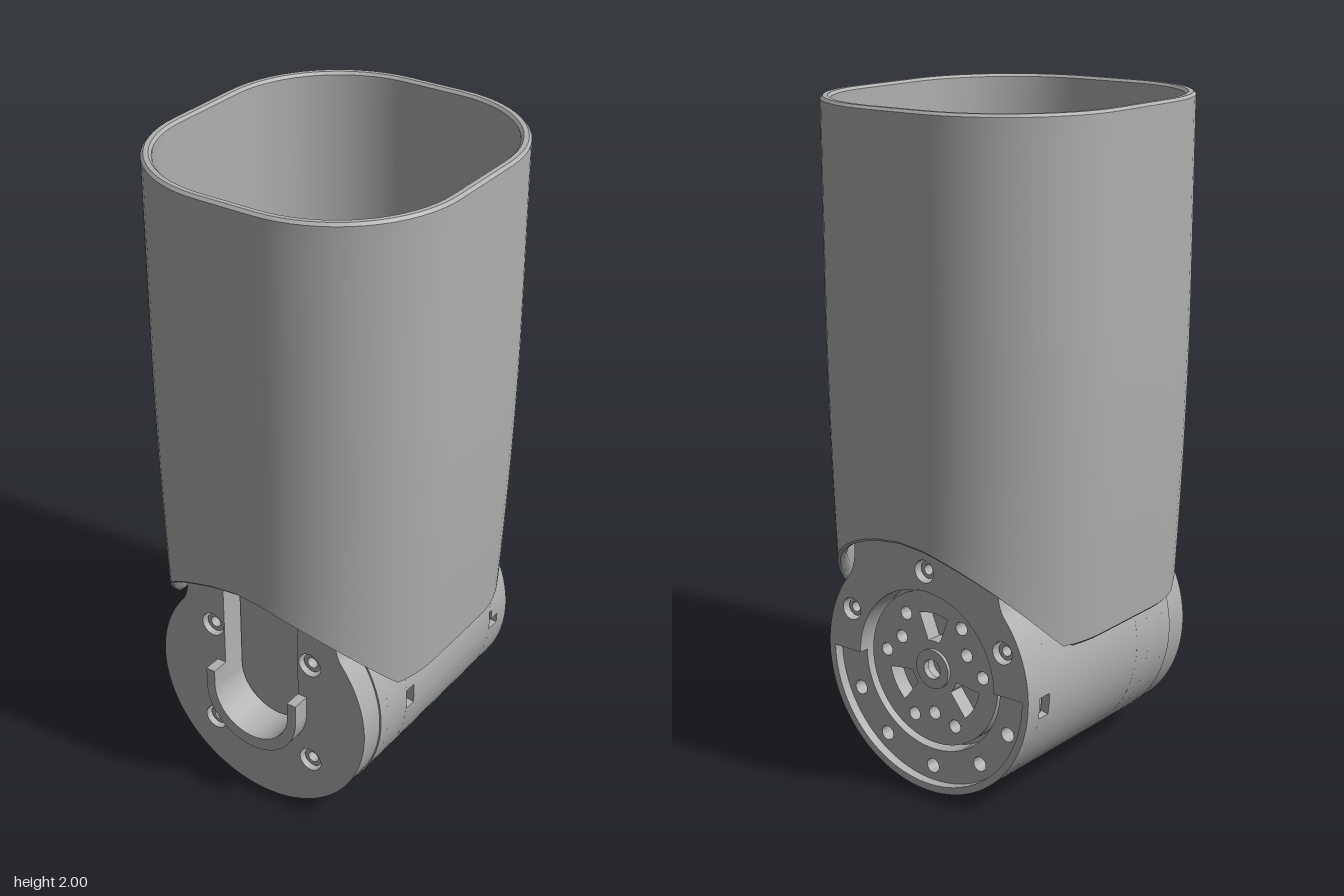
import * as THREE from 'three';
import { toCreasedNormals } from 'three/addons/utils/BufferGeometryUtils.js';

const R = 0.372, CY = 0.372, PI = Math.PI, NECK = 0.265, NECK_TOP = 0.475;
const rad = (d) => d * PI / 180;

export function createModel() {
  const model = new THREE.Group();
  const grey = new THREE.MeshStandardMaterial({ color: 0xb0b0b0 });
  grey.name = 'satin grey';

  const motor = new THREE.Group();
  motor.name = 'motor';
  motor.position.y = CY;
  model.add(motor);

  function add(parent, name, geo) {
    const m = new THREE.Mesh(geo, grey);
    m.name = name;
    parent.add(m);
    return m;
  }
  // Extrude a shape between two z positions
  function slab(name, shape, z0, z1, seg = 40) {
    const g = new THREE.ExtrudeGeometry(shape, { depth: z1 - z0, bevelEnabled: false, curveSegments: seg });
    g.translate(0, 0, z0);
    return add(motor, name, toCreasedNormals(g, 0.5));
  }
  function hole(shape, x, y, r) {
    shape.holes.push(new THREE.Path().absarc(x, y, r, 0, 2 * PI, true));
  }
  function sector(r0, r1, a0, a1) {
    const s = new THREE.Shape();
    s.absarc(0, 0, r1, rad(a0), rad(a1), false);
    s.absarc(0, 0, r0, rad(a1), rad(a0), true);
    return s;
  }
  function ring(r0, r1) {
    const s = new THREE.Shape().absarc(0, 0, r1, 0, 2 * PI, false);
    hole(s, 0, 0, r0);
    return s;
  }
  // Recessed screw: small ring with a sunken socket
  function screw(x, y, z0, z1, r) {
    const m = slab('screw', ring(r * 0.45, r * 0.8), z0, z1, 12);
    m.position.set(x, y, 0);
  }
  // Upper outline from the right to the left side, with filleted shoulders and neck
  function neckOutline(s, r, start, end) {
    const a = Math.acos(0.29 / r), y = Math.sin(a) * r;
    s.absarc(0, 0, r, start, a, false);
    s.quadraticCurveTo(NECK, y + 0.03, NECK, y + 0.09);
    s.lineTo(NECK, NECK_TOP);
    s.lineTo(-NECK, NECK_TOP);
    s.lineTo(-NECK, y + 0.09);
    s.quadraticCurveTo(-NECK, y + 0.03, -0.29, y);
    s.absarc(0, 0, r, PI - a, end, false);
  }

  // Core and neck block
  const core = new THREE.CylinderGeometry(0.342, 0.342, 0.62, 64);
  core.rotateX(PI / 2);
  add(motor, 'core', core);
  const neck = new THREE.BoxGeometry(2 * NECK, NECK_TOP - 0.2, 0.62);
  neck.translate(0, (NECK_TOP + 0.2) / 2, 0);
  add(motor, 'neck', neck);

  // Housing shell in bands, with windows left open: [z0, z1, [angle, half width]...]
  const bands = [
    [-0.345, -0.3, [[0, 5], [185, 5], [240, 5], [300, 5]]],
    [-0.3, 0.14, []],
    [0.14, 0.18, [[0, 5], [150, 5], [240, 5], [300, 5]]],
    [0.18, 0.2, []],
    [0.2, 0.28, [[270, 14]]],
    [0.28, 0.318, []],
  ];
  for (const [z0, z1, gaps] of bands) {
    if (!gaps.length) slab('housingBand', ring(0.335, R), z0, z1);
    gaps.forEach(([a, w], i) => {
      const [b, v] = gaps[(i + 1) % gaps.length];
      slab('housingBand', sector(0.335, R, a + w, b - v + (i === gaps.length - 1 ? 360 : 0)), z0, z1);
    });
  }

  // Front plate with the U channel and screw holes
  const front = new THREE.Shape();
  neckOutline(front, 0.368, -PI / 2, 1.5 * PI);
  const channel = new THREE.Path();
  channel.moveTo(0.133, 0.44);
  channel.lineTo(0.133, 0.01);
  channel.absarc(0, 0.01, 0.133, 0, -PI, true);
  channel.lineTo(-0.133, 0.44);
  front.holes.push(channel);
  for (const x of [-0.176, 0.176]) for (const y of [-0.17, 0.183]) {
    hole(front, x, y, 0.038);
    screw(x, y, 0.32, 0.385, 0.038);
  }
  slab('frontPlate', front, 0.32, 0.4);

  // Raised U collar round the channel end
  const collar = new THREE.Shape();
  collar.moveTo(-0.163, 0.06);
  collar.lineTo(-0.163, 0);
  collar.absarc(0, 0, 0.163, PI, 2 * PI, false);
  collar.lineTo(0.163, 0.06);
  collar.lineTo(0.133, 0.06);
  collar.lineTo(0.133, 0.01);
  collar.absarc(0, 0.01, 0.133, 0, -PI, true);
  collar.lineTo(-0.133, 0.06);
  slab('cableCollar', collar, 0.39, 0.455);

  // Upper back plate, lower rim and recessed lower flange
  const back = new THREE.Shape();
  neckOutline(back, R, 0, PI);
  back.absarc(0, 0, 0.25, PI, 0, true);
  for (const a of [25, 90, 155]) {
    const x = 0.31 * Math.cos(rad(a)), y = 0.31 * Math.sin(rad(a));
    hole(back, x, y, 0.034);
    screw(x, y, -0.38, -0.31, 0.034);
  }
  slab('backPlate', back, -0.4, -0.31);
  slab('backRim', sector(0.35, R, 180, 360), -0.4, -0.345);
  const flange = sector(0.25, 0.352, 180, 360);
  for (const a of [205, 235, 270, 305, 335]) {
    hole(flange, 0.305 * Math.cos(rad(a)), 0.305 * Math.sin(rad(a)), 0.022);
  }
  slab('backFlange', flange, -0.37, -0.31);

  // Output rotor with bolt holes, three pockets and a hub
  const rotor = new THREE.Shape().absarc(0, 0, 0.235, 0, 2 * PI, false);
  hole(rotor, 0, 0, 0.045);
  for (let k = 0; k < 3; k++) {
    const a = 90 + k * 120;
    const pocket = new THREE.Path();
    pocket.absarc(0, 0, 0.17, rad(a - 18), rad(a + 18), false);
    pocket.absarc(0, 0, 0.085, rad(a + 14), rad(a - 14), true);
    rotor.holes.push(pocket);
    for (const d of [35, 60, 85]) {
      const r = d === 60 ? 0.14 : 0.18;
      hole(rotor, r * Math.cos(rad(a + d)), r * Math.sin(rad(a + d)), 0.02);
    }
  }
  slab('rotor', rotor, -0.36, -0.305);
  slab('rotorHub', ring(0.03, 0.06), -0.37, -0.35);

  // Mounting plate on top of the neck
  const mount = new THREE.Shape();
  mount.moveTo(0.34, -0.05);
  mount.quadraticCurveTo(0.375, -0.05, 0.358, 0.09);
  mount.absarc(0, 0, 0.372, 0.25, PI - 0.25, false);
  mount.quadraticCurveTo(-0.375, 0.05, -0.34, 0.05);
  mount.lineTo(-0.255, 0.05);
  mount.quadraticCurveTo(-0.228, 0.05, -0.228, 0);
  mount.absarc(0, 0, 0.228, PI, 2 * PI, false);
  mount.quadraticCurveTo(0.228, 0.05, 0.255, 0.05);
  mount.lineTo(0.34, 0.05);
  for (const [x, z] of [[0.09, 0.153], [0.176, 0], [0.09, -0.153]]) {
    hole(mount, x, z, 0.02);
    hole(mount, -x, z, 0.02);
  }
  const mountMesh = slab('mountingPlate', mount, 0, 0.03);
  mountMesh.rotation.x = -PI / 2;
  mountMesh.position.y = NECK_TOP;

  add(model, 'sleeve', sleeveGeometry());
  return model;
}

// Rounded rectangular section, inset by off
function section(off) {
  const pts = [], n = 16, flatX = 0.09, flatZ = 0.13;
  for (let q = 0; q < 4; q++) {
    const sx = q === 0 || q === 3 ? 1 : -1, sz = q < 2 ? 1 : -1;
    for (let i = 0; i <= n; i++) {
      const a = (q + i / n) * PI / 2;
      pts.push([sx * flatX + (0.467 - flatX - off) * Math.cos(a), sz * flatZ + (0.51 - flatZ - off) * Math.sin(a)]);
    }
    if (q % 2 === 0) pts.push([0, sz * (0.51 - off)]);
  }
  return pts;
}

// Open sleeve: narrows toward the bottom and is cut by a cylinder round the motor
function sleeveGeometry() {
  const taper = (y) => 1 - 0.085 * Math.min(1, Math.max(0, (1.4 - y) / 0.9)) ** 1.7;
  const N = 16, wall = 0.03, e = 0.008;
  const rows = [];
  for (let i = 0; i <= N; i++) rows.push([0, i / N, i === 0 ? e : i === N ? -e : 0]);
  rows.push([e, 1, 0], [wall - e, 1, 0]);
  for (let i = N; i >= 0; i--) rows.push([wall, i / N, i === 0 ? e : i === N ? -e : 0]);
  rows.push([wall - e, 0, 0], [e, 0, 0], rows[0]);

  const pos = [], idx = [];
  let count = 0;
  for (const [off, t, dy] of rows) {
    const pts = section(off);
    count = pts.length;
    for (const [x, z] of pts) {
      let low = 0.6;
      for (let k = 0; k < 8; k++) {
        const cx = x * taper(low);
        low = Math.max(0.505, CY + Math.sqrt(Math.max(0, 0.422 ** 2 - cx * cx)));
      }
      const y = low + t * (2 - low) + dy;
      pos.push(x * taper(y), y, z);
    }
  }
  for (let j = 0; j < rows.length - 1; j++) for (let i = 0; i < count; i++) {
    const k = (i + 1) % count, a = j * count + i, b = j * count + k;
    idx.push(a, a + count, b, b, a + count, b + count);
  }
  const g = new THREE.BufferGeometry();
  g.setAttribute('position', new THREE.Float32BufferAttribute(pos, 3));
  g.setIndex(idx);
  return toCreasedNormals(g, 0.6);
}
